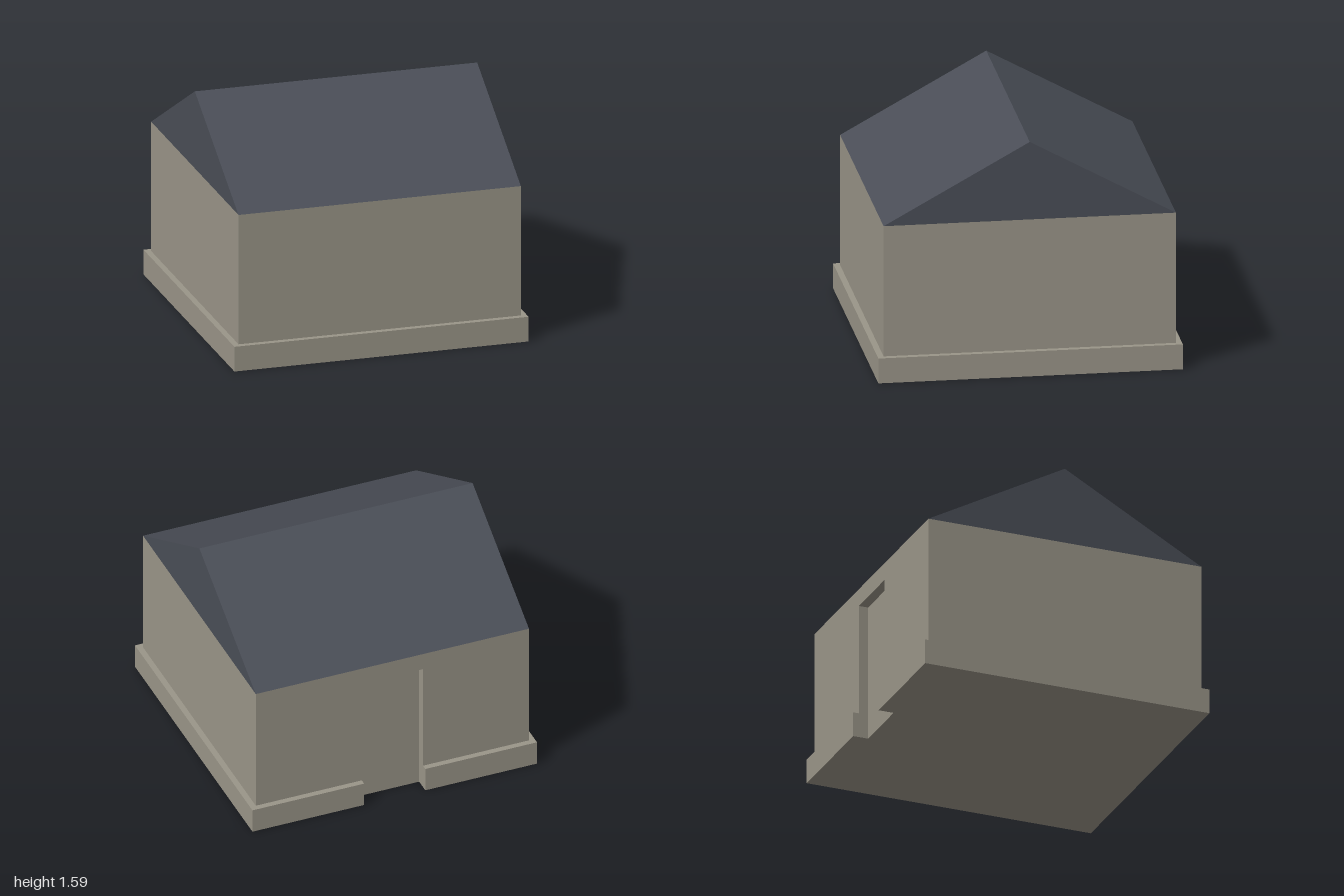
import * as THREE from 'three';

const DOOR_HALF = 0.215, DOOR_Z = 0.895, DOOR_TOP = 0.94;
const PLINTH_TOP = 0.17, EAVES = 1.06, RIDGE = 1.59;
const BASE = 1, WALL = 0.96;

const stone = new THREE.MeshStandardMaterial({ color: 0x9a9588 });
const slate = new THREE.MeshStandardMaterial({ color: 0x4a4e57 });

function polygon(points) {
  return new THREE.Shape(points.map(([x, y]) => new THREE.Vector2(x, y)));
}

function addMesh(parent, name, geometry, material) {
  const mesh = new THREE.Mesh(geometry, material);
  mesh.name = name;
  parent.add(mesh);
  return mesh;
}

// Square block from y0 to y1 with the doorway cut into its back (-z) side
function notchedBlock(half, y0, y1) {
  const shape = polygon([
    [-half, -half], [half, -half], [half, half],
    [DOOR_HALF, half], [DOOR_HALF, DOOR_Z], [-DOOR_HALF, DOOR_Z], [-DOOR_HALF, half],
    [-half, half],
  ]);
  return new THREE.ExtrudeGeometry(shape, { depth: y1 - y0, bevelEnabled: false })
    .rotateX(-Math.PI / 2)
    .translate(0, y0, 0);
}

export function createModel() {
  const house = new THREE.Group();
  house.name = 'house';

  // Plinth and walls, both interrupted by the recessed doorway
  addMesh(house, 'plinth', notchedBlock(BASE, 0, PLINTH_TOP), stone);
  addMesh(house, 'walls', notchedBlock(WALL, PLINTH_TOP, DOOR_TOP), stone);

  // Wall band above the doorway
  const band = new THREE.BoxGeometry(2 * WALL, EAVES - DOOR_TOP, 2 * WALL);
  band.translate(0, (EAVES + DOOR_TOP) / 2, 0);
  addMesh(house, 'upperWalls', band, stone);

  // Gabled roof, ridge running along x
  const gable = polygon([[-WALL, EAVES], [WALL, EAVES], [0, RIDGE]]);
  const roof = new THREE.ExtrudeGeometry(gable, { depth: 2 * WALL, bevelEnabled: false });
  roof.translate(0, 0, -WALL).rotateY(Math.PI / 2);
  addMesh(house, 'roof', roof, slate);

  return house;
}
